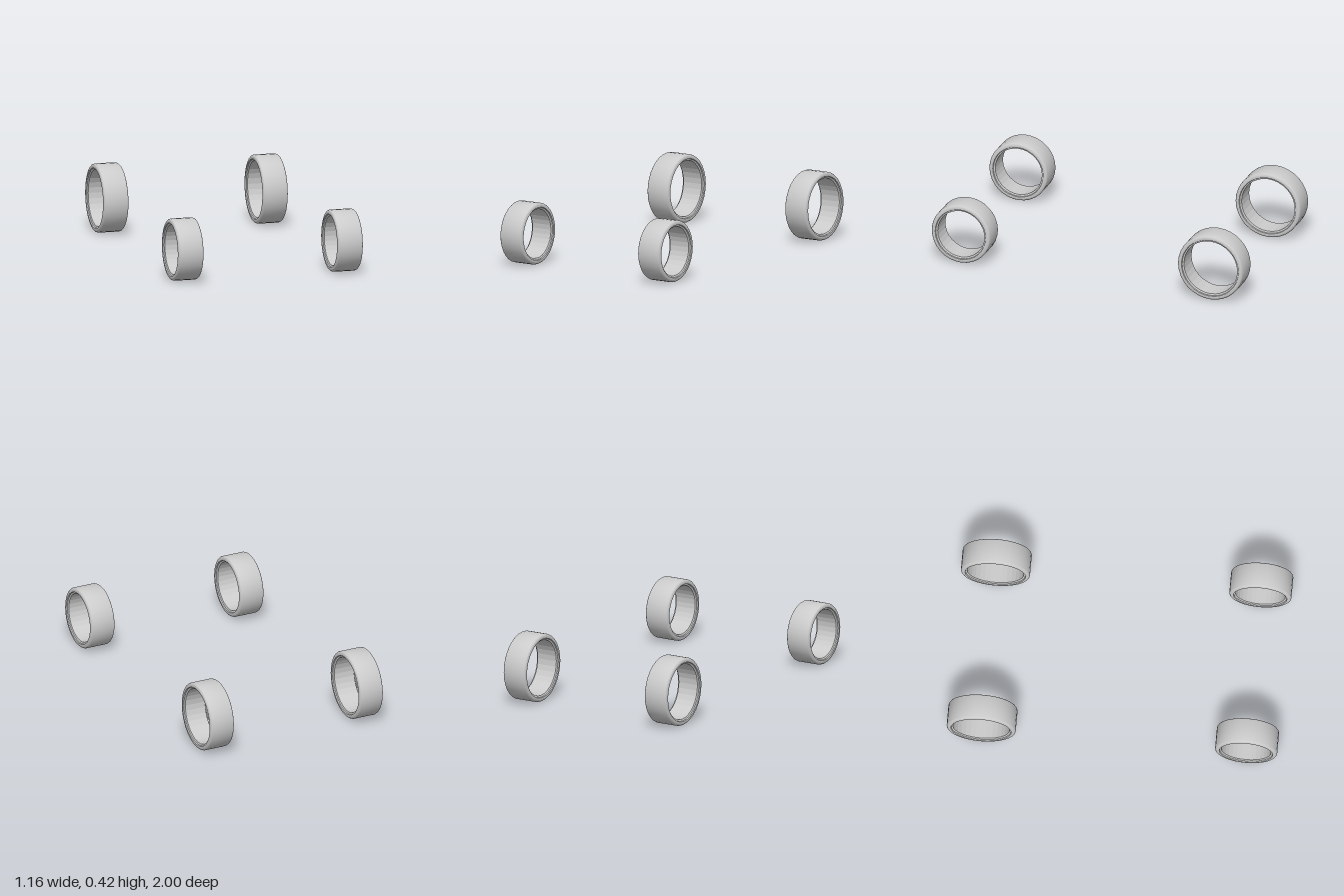
import * as THREE from 'three';
import { toCreasedNormals } from 'three/addons/utils/BufferGeometryUtils.js';

const SEGMENTS = 32;
const material = new THREE.MeshStandardMaterial({ color: 0xcccccc });
const facetedMaterial = new THREE.MeshStandardMaterial({ color: 0xcccccc, flatShading: true });

function lathe(points) {
  const geometry = new THREE.LatheGeometry(points.map(([r, y]) => new THREE.Vector2(r, y)), SEGMENTS);
  geometry.rotateZ(-Math.PI / 2); // axle along x
  return geometry;
}

// An open ring tyre: rounded tread shoulders, flat sidewalls, bevelled bead
function createTyre(name, radius, bore, width) {
  const tyre = new THREE.Group();
  tyre.name = name;
  const h = width / 2;
  const round = 0.016;
  const bevel = 0.012;

  // Right half of the outer section, from the tread to the bore
  const half = [];
  for (let i = 0; i <= 5; i++) {
    const a = (i / 5) * Math.PI / 2;
    half.push([radius - round + round * Math.cos(a), h - round + round * Math.sin(a)]);
  }
  half.push([bore + bevel, h], [bore + bevel * 0.8, h - 0.007], [bore, h - 0.012]);
  const mirrored = half.map(([r, y]) => [r, -y]).reverse();

  const shell = new THREE.Mesh(toCreasedNormals(lathe([...mirrored, ...half]), 0.6), material);
  shell.name = 'treadAndSidewalls';

  // Faceted inner band
  const lining = new THREE.Mesh(lathe([[bore, h - 0.012], [bore, -h + 0.012]]), facetedMaterial);
  lining.name = 'innerBand';

  tyre.add(shell, lining);
  return tyre;
}

export function createModel() {
  const model = new THREE.Group();
  model.name = 'tyreSet';
  const lift = 0.004;
  const axles = [
    { name: 'front', radius: 0.188, bore: 0.15, width: 0.158, z: 0.812 },
    { name: 'rear', radius: 0.209, bore: 0.171, width: 0.156, z: -0.791 },
  ];
  for (const { name, radius, bore, width, z } of axles) {
    for (const side of [-1, 1]) {
      const tyre = createTyre(name + (side > 0 ? 'Left' : 'Right') + 'Tyre', radius, bore, width);
      tyre.position.set(side * 0.501, radius + lift, z);
      model.add(tyre);
    }
  }
  return model;
}
